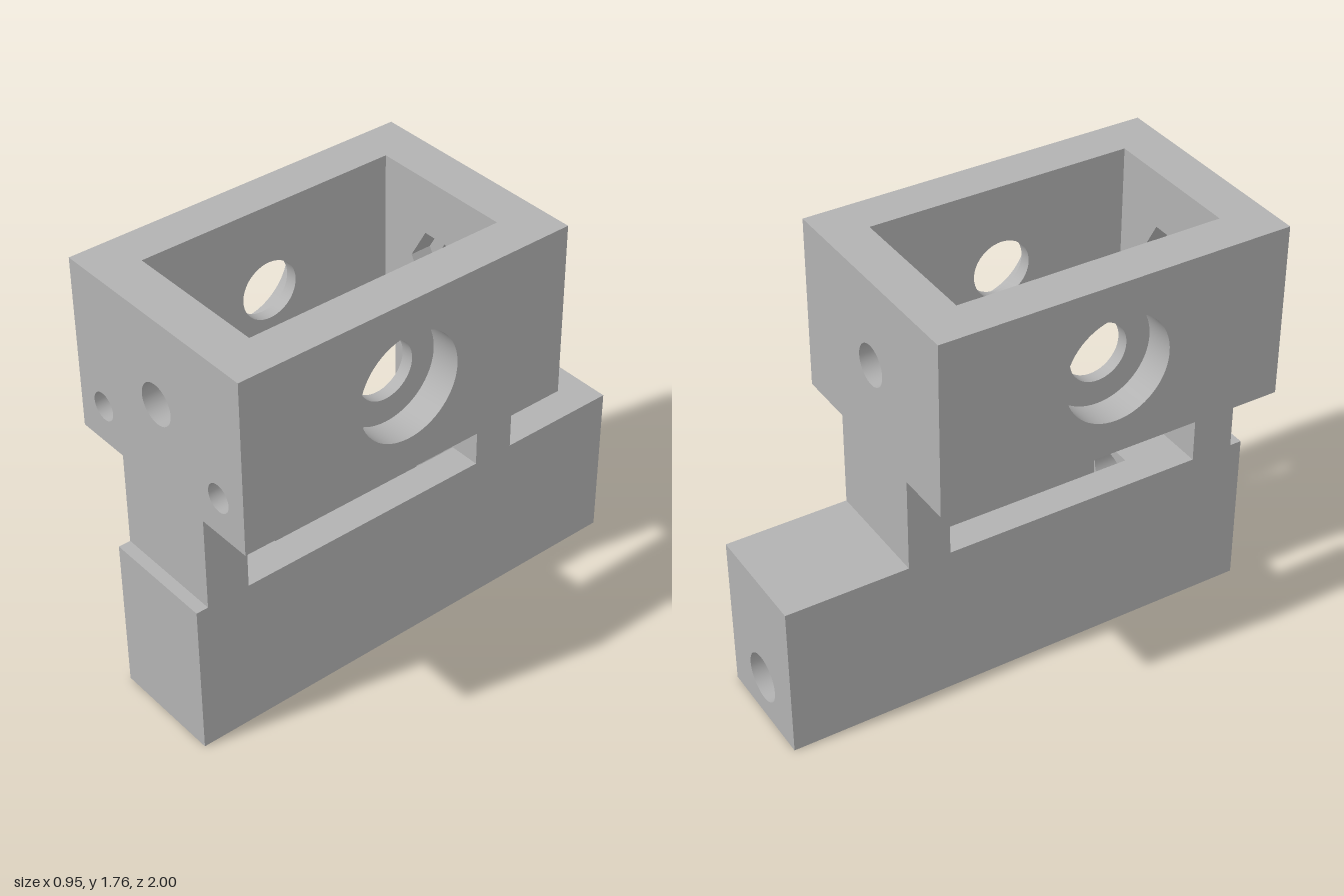
import * as THREE from 'three';
import { toCreasedNormals } from 'three/addons/utils/BufferGeometryUtils.js';

const grey = new THREE.MeshStandardMaterial({ color: 0xb2b2b2 });
grey.name = 'plain grey';

const polygon = (pts) => pts.map(([x, y]) => new THREE.Vector2(x, y));
const rect = (x0, x1, y0, y1) => polygon([[x0, y0], [x1, y0], [x1, y1], [x0, y1]]);
// Regular ring of points; six sides give a nut pocket with flat top and bottom
const ring = (x, y, r, n = 48) => polygon(Array.from({ length: n }, (_, i) => {
  const a = (i / n) * Math.PI * 2;
  return [x + r * Math.cos(a), y + r * Math.sin(a)];
}));

// Plate with holes, extruded from a to b
function plateGeometry(outline, holes, a, b) {
  const shape = new THREE.Shape(outline);
  holes.forEach((h) => shape.holes.push(new THREE.Path(h)));
  const geo = new THREE.ExtrudeGeometry(shape, { depth: b - a, bevelEnabled: false });
  return toCreasedNormals(geo, 0.5);
}

export function createModel() {
  const model = new THREE.Group();
  model.name = 'slottedCarriage';

  const add = (name, geo) => {
    const mesh = new THREE.Mesh(geo, grey);
    mesh.name = name;
    model.add(mesh);
  };
  // Outline in x, y; thickness along z
  const plateZ = (name, outline, holes, z0, z1) =>
    add(name, plateGeometry(outline, holes, z0, z1).translate(0, 0, z0));
  // Outline in z, y; thickness along x
  const plateX = (name, outline, holes, x0, x1) =>
    add(name, plateGeometry(outline, holes, x0, x1).rotateY(-Math.PI / 2).translate(x1, 0, 0));

  const W = 0.475, N = 0.237, TOP = 1.765, SHELF = 1.05, BASE = 0.655;
  const zBack = -0.495, zBackIn = -0.32, zFrontIn = 0.77, zFront = 0.95;
  const boltY = 1.41;

  // End walls: wide head and narrow leg, bolt hole outside, nut pocket inside
  const tee = polygon([[-N, BASE], [N, BASE], [N, SHELF], [W, SHELF],
    [W, TOP], [-W, TOP], [-W, SHELF], [-N, SHELF]]);
  const bolt = ring(0, boltY, 0.083);
  const nut = ring(0, boltY, 0.15, 6);
  const pins = [-0.335, 0.335].map((x) => ring(x, 1.21, 0.057, 32));
  plateZ('frontWallOuter', tee, [bolt, ...pins], 0.86, zFront);
  plateZ('frontWallInner', tee, [nut, ...pins], zFrontIn, 0.86);
  plateZ('backWallOuter', tee, [bolt], zBack, -0.41);
  plateZ('backWallInner', tee, [nut], -0.41, zBackIn);

  // Side walls with a counterbored hole
  const side = rect(zBackIn, zFrontIn, SHELF, TOP);
  const bore = ring(0.23, boltY, 0.12);
  const counterbore = ring(0.23, boltY, 0.22, 64);
  plateX('leftWallOuter', side, [counterbore], 0.35, W);
  plateX('leftWallInner', side, [bore], 0.3, 0.35);
  plateX('rightWallOuter', side, [counterbore], -W, -0.35);
  plateX('rightWallInner', side, [bore], -0.35, -0.3);

  // Base block: two rails either side of the slot
  const slotBack = -0.32, slotFront = 0.545, slotHalf = 0.105;
  for (const s of [-1, 1]) {
    const rail = new THREE.BoxGeometry(N - slotHalf, BASE, slotFront - slotBack);
    rail.translate(s * (N + slotHalf) / 2, BASE / 2, (slotFront + slotBack) / 2);
    add(s > 0 ? 'leftRail' : 'rightRail', rail);
  }

  // Base ends: rod hole at the back, blind sockets facing the slot
  const end = rect(-N, N, 0, BASE);
  const rod = ring(0, 0.18, 0.1);
  const socket = ring(0, 0.52, 0.1);
  plateZ('baseBackEnd', end, [rod], -1, -0.55);
  plateZ('baseBackSocket', end, [rod, socket], -0.55, slotBack);
  plateZ('baseFrontSocket', end, [socket], slotFront, 0.77);
  plateZ('baseFrontEnd', end, [], 0.77, 1);

  return model;
}
